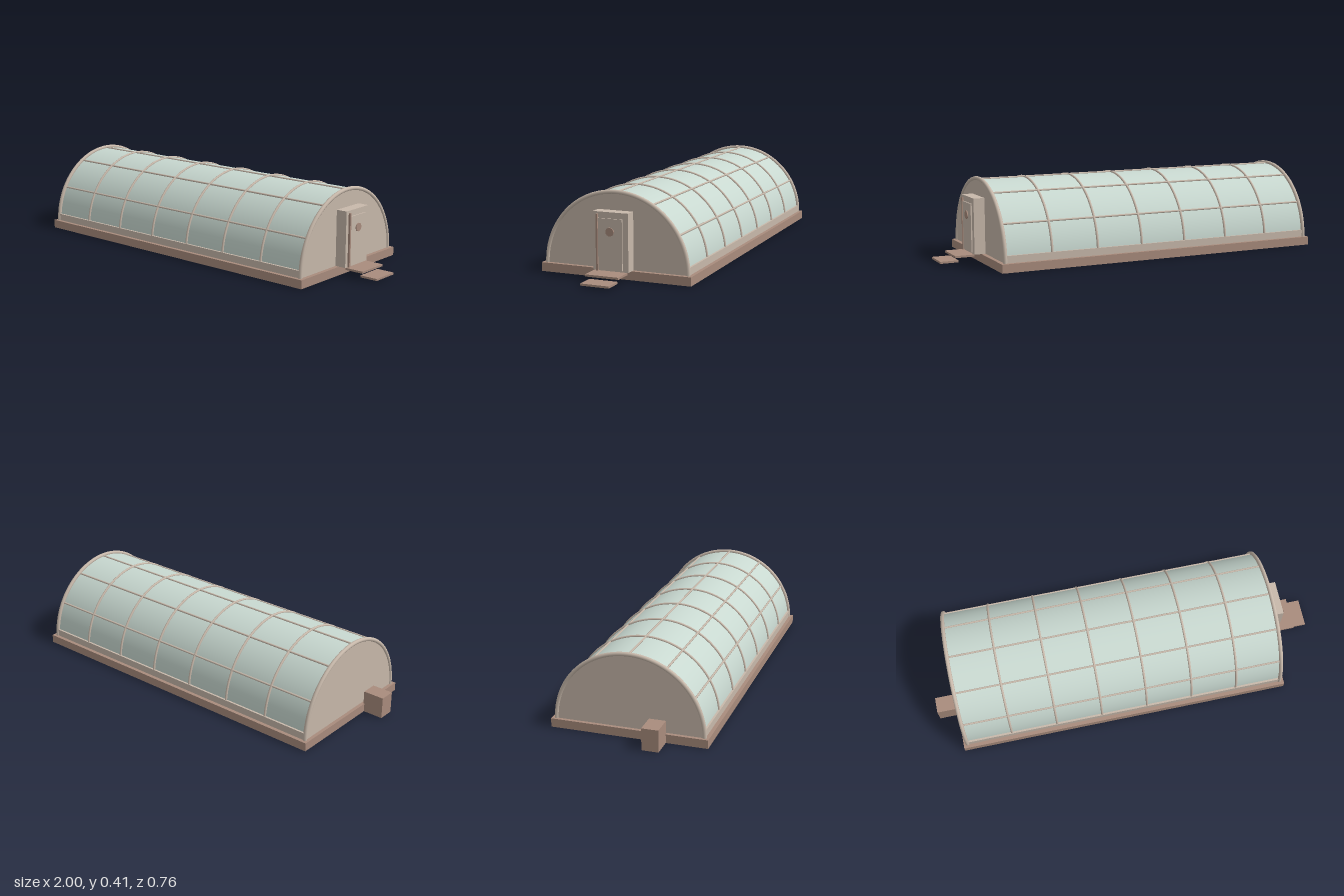
import * as THREE from 'three';

export function createModel() {
  const group = new THREE.Group();
  const mat = (name, color, extra = {}) => {
    const m = new THREE.MeshStandardMaterial({ color, ...extra });
    m.name = name;
    return m;
  };
  const beige = mat('beige frame', 0xc8b9ab);
  const brown = mat('brown timber', 0xa98c7d);
  const glass = mat('pale green glazing', 0xc8d8d0, { side: THREE.DoubleSide });

  const add = (name, geometry, material) => {
    const mesh = new THREE.Mesh(geometry, material);
    mesh.name = name;
    group.add(mesh);
    return mesh;
  };
  // Box given by its limits on each axis
  const box = (name, material, x0, x1, y0, y1, z0, z1) =>
    add(name, new THREE.BoxGeometry(x1 - x0, y1 - y0, z1 - z0), material)
      .position.set((x0 + x1) / 2, (y0 + y1) / 2, (z0 + z1) / 2);
  // Arched cylinder surface lying along x
  const vault = (r, length, open, start) =>
    new THREE.CylinderGeometry(r, r, length, 64, 1, open, start, Math.PI - 2 * start).rotateZ(Math.PI / 2);

  const floor = 0.042, x0 = -0.88, x1 = 0.777, radius = 0.354;
  const mid = (x0 + x1) / 2, length = x1 - x0;

  // Foundation and low side walls
  box('foundation', brown, -0.9, 0.8, 0, floor, -0.378, 0.378);
  for (const s of [-1, 1]) {
    const z = s * 0.352;
    box('sideWall', beige, x0, x1, floor, 0.077, z - 0.008, z + 0.008);
  }

  // Glazed vault
  add('glazing', vault(radius - 0.002, length, true, 0.1), glass).position.set(mid, floor, 0);

  // Solid half-round end walls
  for (const x of [x0 + 0.003, x1 - 0.003]) {
    add('endWall', vault(radius - 0.004, 0.012, false, 0), beige).position.set(x, floor, 0);
  }

  // Arched ribs, thicker at both ends
  for (let i = 0; i <= 7; i++) {
    const end = i === 0 || i === 7;
    const rib = new THREE.TorusGeometry(end ? 0.356 : radius, end ? 0.01 : 0.006, 10, 64, Math.PI);
    add(end ? 'endArch' : 'rib', rib.rotateY(Math.PI / 2), beige)
      .position.set(x0 + (length * i) / 7, floor, 0);
  }

  // Lengthwise bars
  for (let i = 1; i <= 5; i++) {
    const a = (i * Math.PI) / 6;
    add('lengthwiseBar', new THREE.CylinderGeometry(0.005, 0.005, length, 8).rotateZ(Math.PI / 2), beige)
      .position.set(mid, floor + radius * Math.sin(a), radius * Math.cos(a));
  }

  // Porch with door, hinge post and round window
  box('porch', beige, 0.775, 0.835, floor, 0.314, -0.088, 0.088);
  box('door', beige, 0.83, 0.841, 0.049, 0.285, -0.06, 0.06);
  box('hingePost', brown, 0.83, 0.845, floor, 0.303, 0.061, 0.07);
  add('doorWindow', new THREE.CylinderGeometry(0.02, 0.02, 0.008, 32).rotateZ(Math.PI / 2), brown)
    .position.set(0.842, 0.225, 0);

  // Entrance steps
  box('upperStep', brown, 0.835, 0.93, 0.032, 0.042, -0.083, 0.083);
  box('lowerStep', brown, 0.91, 1, 0.008, 0.018, -0.07, 0.07);

  // Service box with its pipe at the back end
  box('serviceBox', brown, -1, -0.895, 0, 0.107, 0.1, 0.18);
  add('servicePipe', new THREE.CylinderGeometry(0.01, 0.01, 0.03, 16).rotateZ(Math.PI / 2), brown)
    .position.set(-0.885, 0.08, 0.14);

  return group;
}
